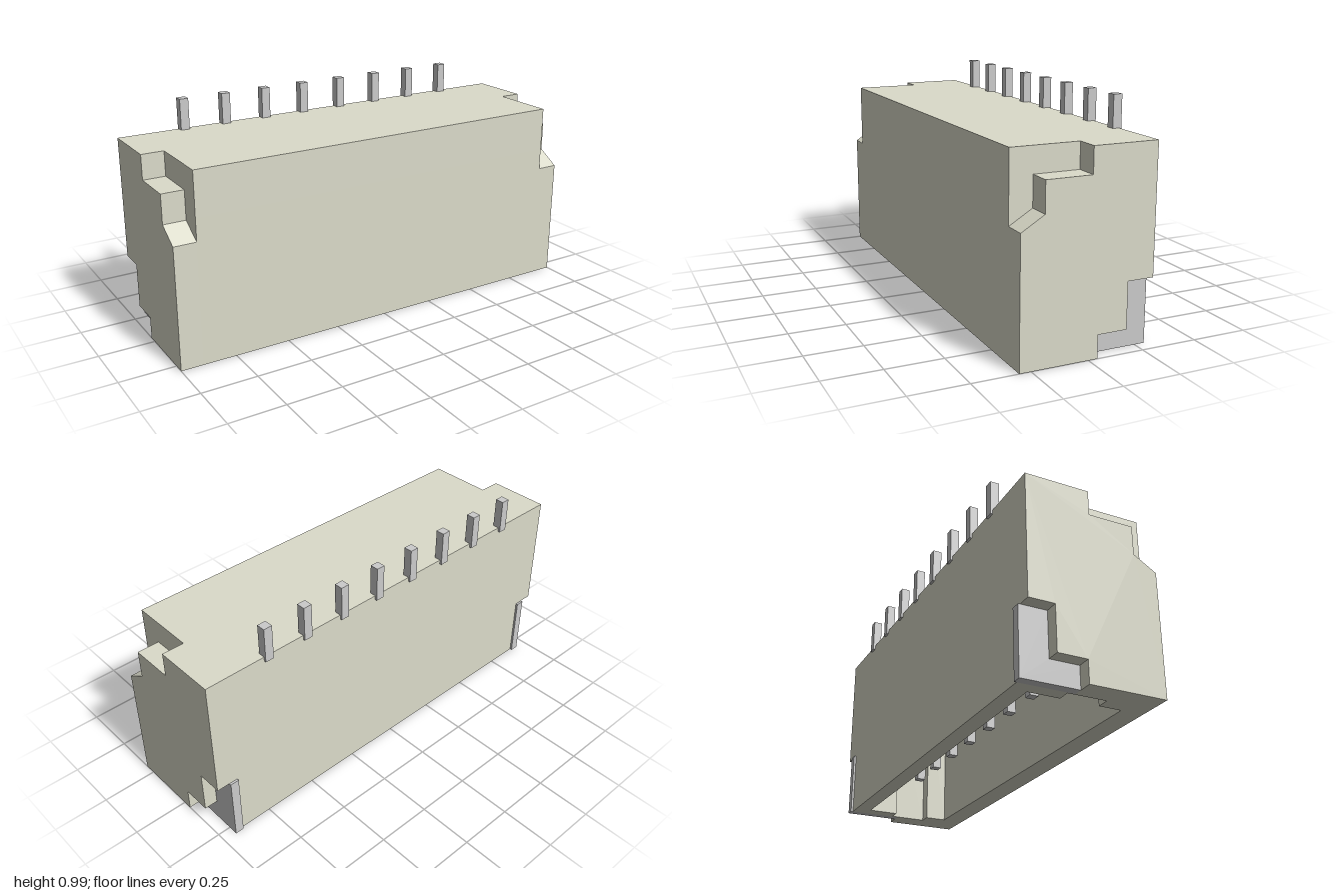
import * as THREE from 'three';

const plastic = new THREE.MeshStandardMaterial({ color: 0xdbdbca, flatShading: true });
const metal = new THREE.MeshStandardMaterial({ color: 0xcccccc, flatShading: true });

const path = (Type, pts) => new Type(pts.map(([a, b]) => new THREE.Vector2(a, b)));

function add(parent, name, geometry, material) {
  const mesh = new THREE.Mesh(geometry, material);
  mesh.name = name;
  parent.add(mesh);
  return mesh;
}

// Box given by its minimum and maximum corners
function box(min, max) {
  const g = new THREE.BoxGeometry(max[0] - min[0], max[1] - min[1], max[2] - min[2]);
  return g.translate((min[0] + max[0]) / 2, (min[1] + max[1]) / 2, (min[2] + max[2]) / 2);
}

// Side profile of [z, y] points, extruded from x0 to x1
function sideExtrude(pts, x0, x1) {
  const shape = path(THREE.Shape, pts.map(([z, y]) => [-z, y]));
  const g = new THREE.ExtrudeGeometry(shape, { depth: x1 - x0, bevelEnabled: false });
  return g.rotateY(Math.PI / 2).translate(x0, 0, 0);
}

export function createModel() {
  const model = new THREE.Group();
  model.name = 'connector';

  const W = 0.9, front = 0.3, back = -0.285, top = 0.85, ceiling = 0.65;

  // Hollow middle: socket open at the bottom, with a key slot in each side wall
  const outline = path(THREE.Shape, [[-W, -front], [W, -front], [W, -back], [-W, -back]]);
  const half = [[0.84, -0.2], [0.84, -0.1], [0.895, -0.1], [0.895, 0.07], [0.84, 0.07], [0.84, 0.21]];
  const mirrored = half.map(([x, z]) => [-x, z]).reverse();
  outline.holes.push(path(THREE.Path, [...half, ...mirrored]));
  const walls = new THREE.ExtrudeGeometry(outline, { depth: ceiling, bevelEnabled: false });
  add(model, 'socketWalls', walls.rotateX(-Math.PI / 2), plastic);
  add(model, 'socketRoof', box([-W, ceiling, back], [W, top, front]), plastic);

  // End walls: stepped notch at the upper front, L-shaped recess at the lower back
  const endProfile = [
    [front, 0], [-0.04, 0], [-0.04, 0.1], [-0.17, 0.1], [-0.17, 0.3], [back, 0.3],
    [back, top], [0, top], [0, 0.74], [0.2, 0.74], [0.2, 0.61], [front, 0.55],
  ];
  // Solder tab sitting in the recess
  const tabProfile = [[-0.04, 0], [-0.04, 0.1], [-0.17, 0.1], [-0.17, 0.3], [-0.295, 0.3], [-0.295, 0]];
  for (const [side, s] of [['left', 1], ['right', -1]]) {
    const span = (a, b) => (s > 0 ? [a, b] : [-b, -a]);
    add(model, side + 'EndWall', sideExtrude(endProfile, ...span(W, 1)), plastic);
    add(model, side + 'SolderTab', sideExtrude(tabProfile, ...span(W, 0.94)), metal);
  }

  // Eight contacts: a tail on top at the back and a pin inside the socket
  for (let i = 0; i < 8; i++) {
    const x = (i - 3.5) * 0.2;
    const contact = new THREE.Group();
    contact.name = 'contact' + (i + 1);
    add(contact, 'tail', box([x - 0.02, 0.83, -0.295], [x + 0.02, 0.99, -0.255]), metal);
    add(contact, 'pin', box([x - 0.02, 0.15, -0.02], [x + 0.02, ceiling + 0.02, 0.02]), metal);
    model.add(contact);
  }
  return model;
}
